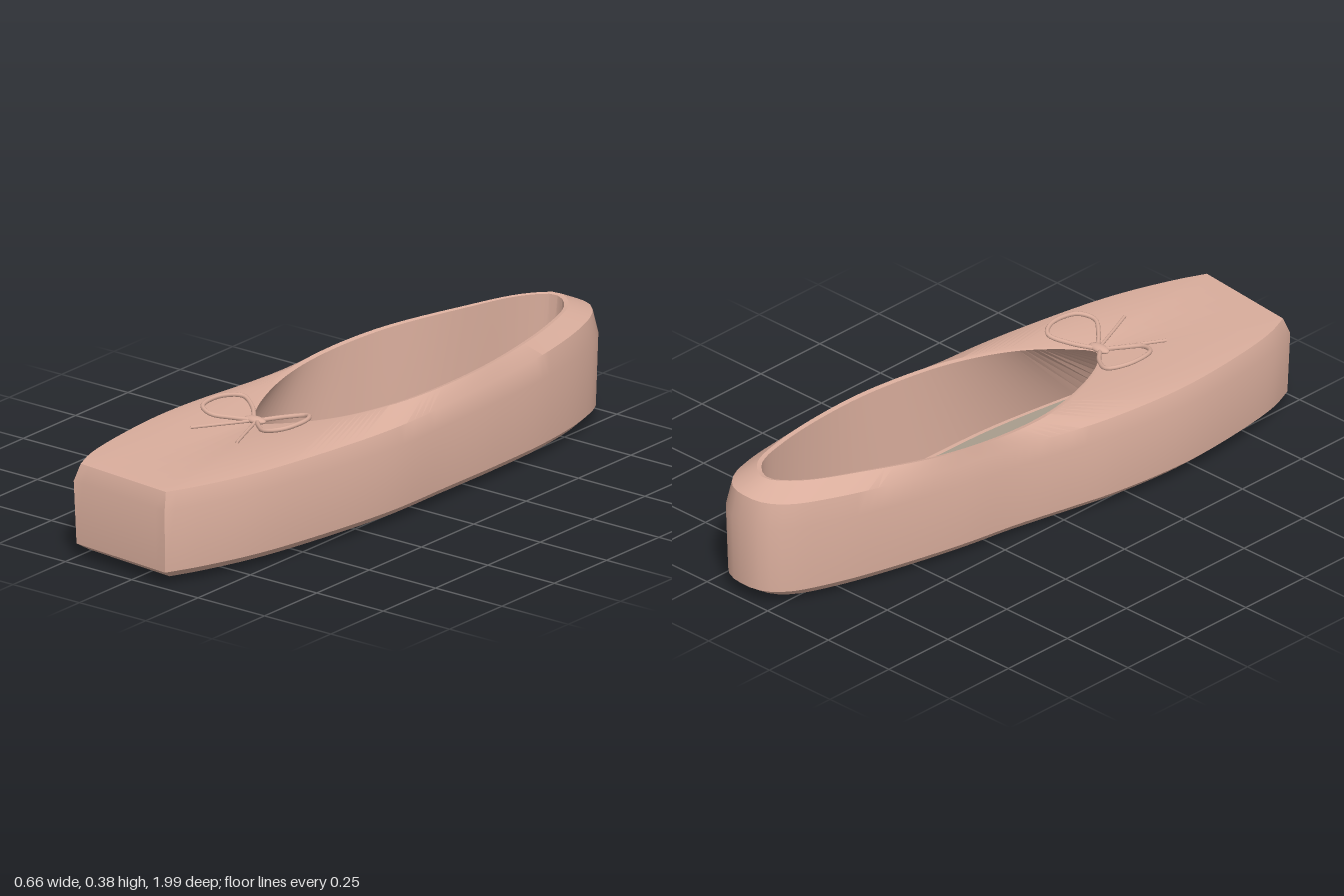
import * as THREE from 'three';
import { toCreasedNormals } from 'three/addons/utils/BufferGeometryUtils.js';

const material = (name, color) => {
  const m = new THREE.MeshStandardMaterial({ color });
  m.name = name;
  return m;
};

const curve = (pts, closed) =>
  new THREE.CatmullRomCurve3(pts.map(([x, z]) => new THREE.Vector3(x, 0, z)), closed, 'centripetal');

// Plan outline of one side, round the heel and back to the toe
const SIDE = [
  [0.12, 0.995], [0.165, 0.9], [0.235, 0.7], [0.29, 0.42], [0.322, 0.15], [0.324, -0.1], [0.325, -0.35],
  [0.315, -0.6], [0.28, -0.81], [0.235, -0.93], [0.18, -0.985], [0.11, -1], [0.04, -0.99], [-0.02, -0.94],
  [-0.085, -0.8], [-0.145, -0.6], [-0.2, -0.36], [-0.23, -0.18], [-0.27, 0], [-0.308, 0.18],
  [-0.332, 0.45], [-0.315, 0.7], [-0.285, 0.87], [-0.25, 0.96],
];

// Plan outline of the foot opening, starting at its front
const OPENING = [
  [-0.01, 0.4], [0.055, 0.36], [0.165, 0.23], [0.245, 0.03], [0.28, -0.24], [0.275, -0.45], [0.235, -0.71],
  [0.18, -0.86], [0.1, -0.91], [0.02, -0.845], [-0.07, -0.66], [-0.165, -0.4], [-0.197, -0.16],
  [-0.185, 0.03], [-0.135, 0.21], [-0.065, 0.35],
];

// Closed outline: half the flat toe, both sides, other half of the toe
function makeOutline() {
  const side = curve(SIDE, false).getSpacedPoints(120);
  const a = side[0], b = side[120];
  const mid = a.clone().lerp(b, 0.5);
  const pts = [];
  for (let i = 0; i < 5; i++) pts.push(mid.clone().lerp(a, i / 5));
  pts.push(...side);
  for (let i = 1; i < 5; i++) pts.push(b.clone().lerp(mid, i / 5));
  return pts;
}

// Shrinks the outline about the slanted centre line of the shoe
const centreX = (z) => 0.02 - 0.085 * z;
function shrink(outline, kx, kz, y, shiftZ = 0) {
  return outline.map((p) => {
    const z = p.z * kz + shiftZ;
    return new THREE.Vector3(centreX(z) + (p.x - centreX(p.z)) * kx, typeof y === 'function' ? y(p.z) : y, z);
  });
}

// Skins a list of closed rings
function loft(rings) {
  const n = rings[0].length;
  const positions = rings.flatMap((ring) => ring.flatMap((p) => [p.x, p.y, p.z]));
  const index = [];
  for (let j = 0; j < rings.length - 1; j++) {
    for (let i = 0; i < n; i++) {
      const k = (i + 1) % n;
      const a = j * n + i, b = j * n + k, c = b + n, d = a + n;
      index.push(a, b, c, a, c, d);
    }
  }
  const g = new THREE.BufferGeometry();
  g.setAttribute('position', new THREE.Float32BufferAttribute(positions, 3));
  g.setIndex(index);
  return toCreasedNormals(g, 0.5);
}

export function createModel() {
  const group = new THREE.Group();
  const satin = material('pink satin', 0xd9ad9c);
  const lining = material('grey insole', 0xa89c8c);
  const leather = material('brown leather', 0x7a5240);
  satin.side = THREE.DoubleSide;

  const add = (name, geometry, mat, parent = group) => {
    const mesh = new THREE.Mesh(geometry, mat);
    mesh.name = name;
    parent.add(mesh);
    return mesh;
  };

  const outline = makeOutline();
  const n = outline.length;

  // Rim of the opening, matched point by point to the outline
  const opening = curve(OPENING, true);
  const rimY = (z) => 0.3355 - 0.0438 * z;
  const rim = outline.map((_, i) => {
    const s = i / n;
    const f = s < 0.5 ? 0.5 * (2 * s) ** 1.4 : 1 - 0.5 * (2 - 2 * s) ** 1.4;
    const p = opening.getPointAt(f);
    return p.setY(rimY(p.z));
  });
  const lip = rim.map((p) => new THREE.Vector3(0.05 + (p.x - 0.05) * 0.94, p.y - 0.003, -0.25 + (p.z + 0.25) * 0.98));

  // Upper: underside, chamfer, walls, vamp, rim and inside in one skin
  const rise = (z) => Math.max(0, -z) ** 1.2;
  add('upper', loft([
    shrink(outline, 0.001, 0.7, 0.02),
    shrink(outline, 0.89, 0.955, 0.02),
    shrink(outline, 0.975, 0.993, 0.045),
    shrink(outline, 1, 1, (z) => 0.243 + 0.02 * rise(z)),
    shrink(outline, 0.94, 0.982, (z) => 0.295 + 0.045 * rise(z)),
    rim,
    lip,
    shrink(outline, 0.72, 0.9, 0.05, 0.02),
    shrink(outline, 0.001, 0.7, 0.05, 0.02),
  ]), satin);

  // Insole
  add('insole', loft([
    shrink(outline, 0.65, 0.87, 0.05, 0.03),
    shrink(outline, 0.65, 0.87, 0.057, 0.03),
    shrink(outline, 0.001, 0.7, 0.057, 0.03),
  ]), lining);

  // Outer sole patch
  add('outsole', loft([
    shrink(outline, 0.001, 0.7, 0, -0.04),
    shrink(outline, 0.615, 0.81, 0, -0.04),
    shrink(outline, 0.635, 0.822, 0.012, -0.04),
    shrink(outline, 0.635, 0.822, 0.018, -0.04),
    shrink(outline, 0.001, 0.7, 0.018, -0.04),
  ]), leather);

  // Bow of thin cord
  const bow = new THREE.Group();
  bow.name = 'bow';
  group.add(bow);
  const cord = (name, pts, lift, radius) => {
    const path = new THREE.CatmullRomCurve3(
      pts.map(([x, z]) => new THREE.Vector3(x, 0.324 + lift * Math.abs(x + 0.01), z)));
    add(name, new THREE.TubeGeometry(path, 40, radius, 8), satin, bow);
  };
  cord('leftLoop', [[0, 0.39], [0.06, 0.345], [0.127, 0.32], [0.16, 0.37], [0.148, 0.465], [0.1, 0.49], [0.045, 0.45], [0, 0.4]], 0.19, 0.007);
  cord('rightLoop', [[-0.02, 0.39], [-0.075, 0.33], [-0.135, 0.3], [-0.172, 0.36], [-0.163, 0.455], [-0.115, 0.475], [-0.065, 0.44], [-0.02, 0.4]], 0.19, 0.007);
  cord('leftTail', [[-0.005, 0.4], [0.03, 0.49], [0.068, 0.585]], 0.04, 0.005);
  cord('rightTail', [[-0.015, 0.4], [-0.065, 0.48], [-0.12, 0.568]], 0.03, 0.005);
  const knot = add('knot', new THREE.SphereGeometry(1, 20, 12), satin, bow);
  knot.scale.set(0.038, 0.011, 0.019);
  knot.position.set(-0.01, 0.327, 0.397);

  return group;
}
